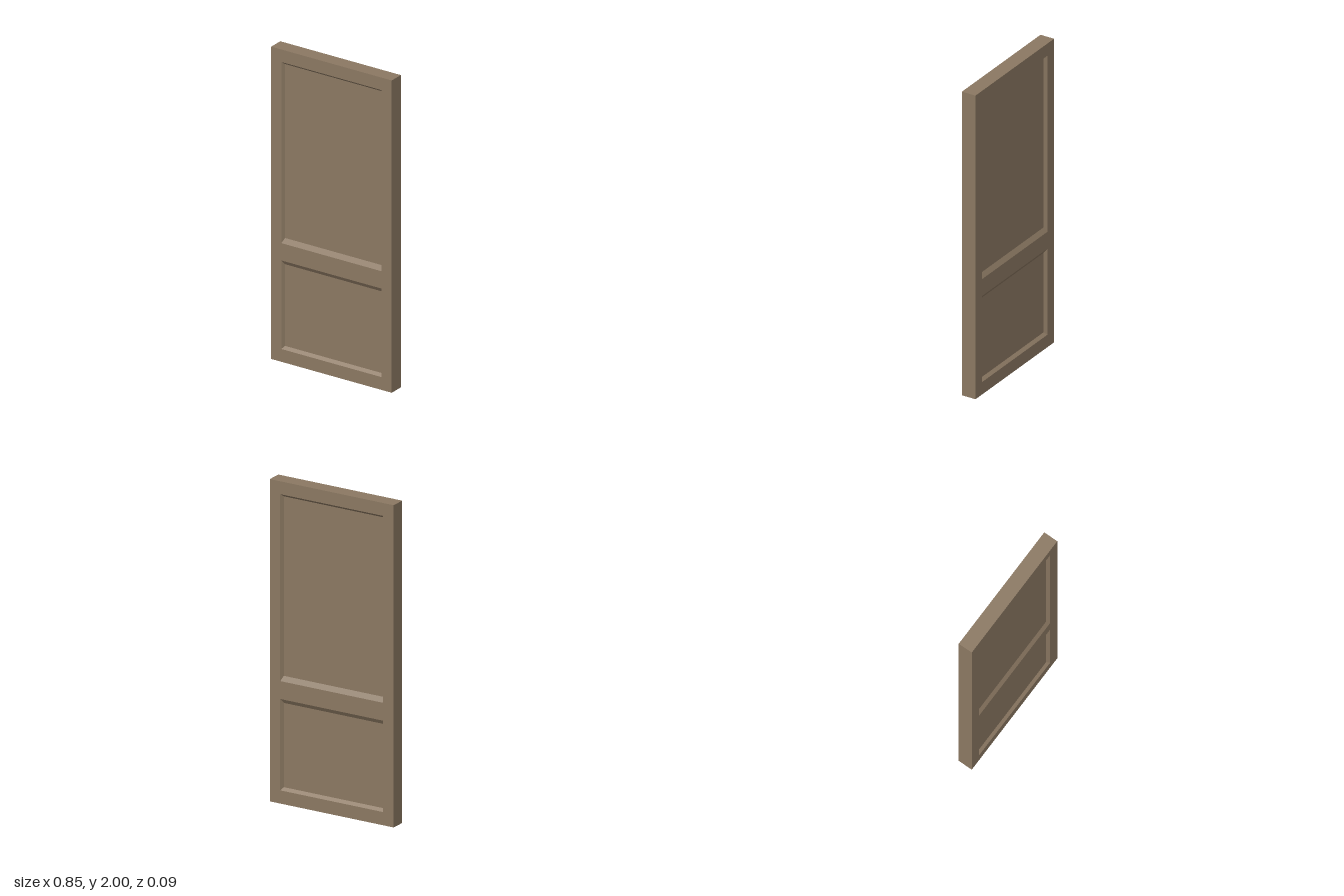
import * as THREE from 'three';

const HALF_DEPTH = 0.047;
const RECESS = 0.018;

// Rectangles as [x0, y0, x1, y1]
const OUTLINE = [-0.427, 0, 0.427, 2];
const PANELS = [
  { name: 'upper', outer: [-0.355, 0.76, 0.355, 1.92], inner: [-0.341, 0.79, 0.341, 1.904] },
  { name: 'lower', outer: [-0.355, 0.082, 0.355, 0.649], inner: [-0.341, 0.099, 0.341, 0.622] },
];

const corners = ([x0, y0, x1, y1]) => [[x0, y0], [x1, y0], [x1, y1], [x0, y1]];
const points = (rect) => corners(rect).map(([x, y]) => new THREE.Vector2(x, y));

// Four flat faces joining rectangle a at depth za to rectangle b at depth zb
function rectLoft(a, za, b, zb) {
  const ca = corners(a), cb = corners(b), pos = [];
  for (let i = 0; i < 4; i++) {
    const j = (i + 1) % 4;
    const p = [...ca[i], za], q = [...ca[j], za], r = [...cb[j], zb], s = [...cb[i], zb];
    pos.push(...p, ...q, ...r, ...p, ...r, ...s);
  }
  const geo = new THREE.BufferGeometry();
  geo.setAttribute('position', new THREE.Float32BufferAttribute(pos, 3));
  geo.computeVertexNormals();
  return geo;
}

export function createModel() {
  const wood = new THREE.MeshStandardMaterial({ color: 0x8b7862 });
  const door = new THREE.Group();
  door.name = 'panelledDoor';

  const add = (parent, name, geo) => {
    const mesh = new THREE.Mesh(geo, wood);
    mesh.name = name;
    parent.add(mesh);
    return mesh;
  };

  // Outer edges of the slab
  add(door, 'doorEdges', rectLoft(OUTLINE, -HALF_DEPTH, OUTLINE, HALF_DEPTH));

  // The same face on front and back
  for (const side of ['front', 'back']) {
    const face = new THREE.Group();
    face.name = side + 'Face';

    // Stiles and rails: flat sheet with an opening for each panel
    const frame = new THREE.Shape(points(OUTLINE));
    for (const p of PANELS) frame.holes.push(new THREE.Path(points(p.outer)));
    add(face, 'stilesAndRails', new THREE.ShapeGeometry(frame)).position.z = HALF_DEPTH;

    // Sloped moulding and sunken panel
    for (const p of PANELS) {
      add(face, p.name + 'Moulding', rectLoft(p.outer, HALF_DEPTH, p.inner, HALF_DEPTH - RECESS));
      const panel = new THREE.ShapeGeometry(new THREE.Shape(points(p.inner)));
      add(face, p.name + 'Panel', panel).position.z = HALF_DEPTH - RECESS;
    }

    if (side === 'back') face.rotation.y = Math.PI;
    door.add(face);
  }

  return door;
}
